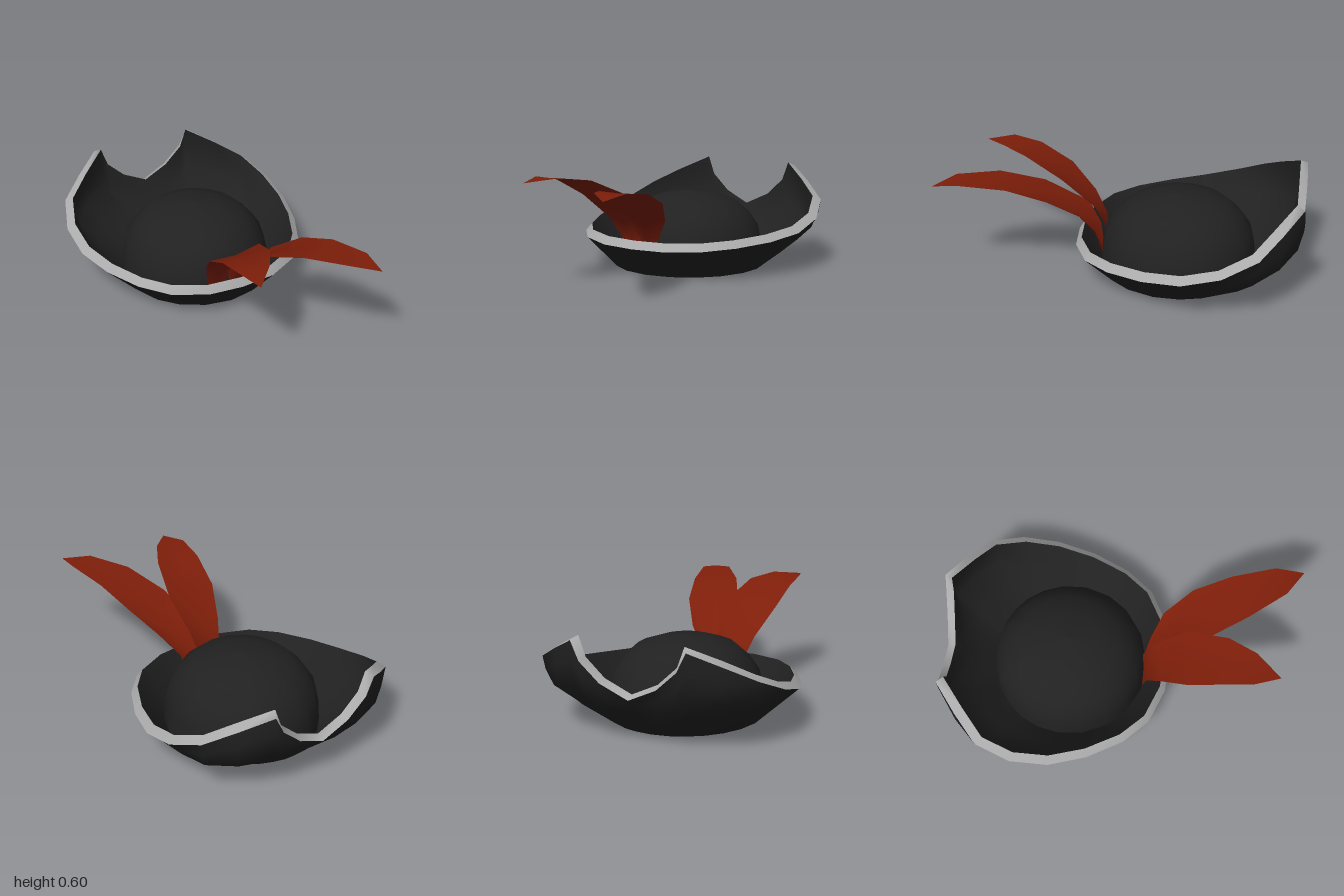
import * as THREE from 'three';

const V = (x, y, z) => new THREE.Vector3(x, y, z);
const make = (color, name) => {
  const m = new THREE.MeshStandardMaterial({ color, side: THREE.DoubleSide });
  m.name = name;
  return m;
};

// Surface through rows of points; closed joins each row's ends
function loft(rows, closed) {
  const n = rows[0].length, pos = [], idx = [];
  rows.forEach(r => r.forEach(p => pos.push(p.x, p.y, p.z)));
  for (let i = 0; i < rows.length - 1; i++) {
    for (let j = 0; j < (closed ? n : n - 1); j++) {
      const k = (j + 1) % n;
      const a = i * n + j, b = i * n + k, c = (i + 1) * n + k, d = (i + 1) * n + j;
      idx.push(a, b, c, a, c, d);
    }
  }
  const g = new THREE.BufferGeometry();
  g.setAttribute('position', new THREE.Float32BufferAttribute(pos, 3));
  g.setIndex(idx);
  g.computeVertexNormals();
  return g;
}

export function createModel() {
  const hat = new THREE.Group();
  hat.name = 'cockedHat';
  const black = make(0x212121, 'blackFelt');
  const grey = make(0xaaaaaa, 'greyTrim');
  const red = make(0x7e1e0a, 'redFeather');
  const add = (geo, mat, name) => {
    const m = new THREE.Mesh(geo, mat);
    m.name = name;
    hat.add(m);
  };

  // Brim edge from front centre round the left side to back centre:
  // x, y, z, outward bulge of the wall below, half width and half height of the trim
  const half = [
    [0, 0.187, 0.254, 0, 0.016, 0.022], [0.2, 0.189, 0.235, 0, 0.016, 0.022],
    [0.385, 0.197, 0.148, 0, 0.017, 0.021], [0.505, 0.207, 0.01, 0, 0.018, 0.02],
    [0.6, 0.222, -0.185, 0, 0.02, 0.019], [0.655, 0.247, -0.39, 0, 0.022, 0.018],
    [0.655, 0.3, -0.59, 0.03, 0.023, 0.016], [0.59, 0.378, -0.765, 0.1, 0.025, 0.013],
    [0.452, 0.46, -0.872, 0.13, 0.026, 0.011], [0.302, 0.54, -0.975, 0.12, 0.024, 0.01],
    [0.258, 0.435, -0.978, 0.09, 0.023, 0.01], [0.15, 0.335, -0.977, 0.05, 0.022, 0.01],
    [0, 0.265, -0.97, 0, 0.022, 0.01],
  ];
  const full = half.concat(half.slice(1, -1).reverse().map(([x, ...rest]) => [-x, ...rest]));
  const edge = full.map(([x, y, z]) => V(x, y, z));
  const n = edge.length;
  const outward = edge.map(p => V(p.x, 0, p.z + 0.3).normalize());
  const base = outward.map(o => V(o.x * 0.43, 0, -0.3 + o.z * 0.44));

  // Outer and inner borders of the sloping trim
  const border = side => edge.map((p, i) => {
    const along = edge[(i + 1) % n].clone().sub(edge[(i + n - 1) % n]).normalize();
    const across = along.clone().cross(V(0, 1, 0)).normalize();
    const up = across.clone().cross(along);
    return p.clone().addScaledVector(across, side * full[i][4]).addScaledVector(up, -side * full[i][5]);
  });
  const outer = border(1), inner = border(-1);
  add(loft([outer, inner], true), grey, 'brimTrim');

  // Brim walls, outside and inside, meeting at the base
  const wall = top => {
    const ring = (t, swell) => base.map((p, i) =>
      p.clone().lerp(top[i], t).addScaledVector(outward[i], full[i][3] * swell));
    return loft([base, ring(0.28, 0.65), ring(0.55, 1), ring(0.8, 0.55), top], true);
  };
  add(wall(outer), black, 'brimOutside');
  add(wall(inner), black, 'brimInside');

  // Domed crown on the same base, open underneath: scale of the base ring and height
  const profile = [[1, 0], [0.985, 0.12], [0.935, 0.22], [0.81, 0.3], [0.63, 0.37], [0.35, 0.412], [0, 0.43]];
  add(loft(profile.map(([s, y]) => base.map(p => V(p.x * s, y, -0.3 + (p.z + 0.3) * s))), true), black, 'crown');

  // Two curved feathers behind the front edge, each folded slightly along its midrib
  const feather = (a, b, fold, name) => {
    const right = a.map(p => V(...p)), left = b.map(p => V(...p));
    const rib = right.map((p, i) => p.clone().lerp(left[i], 0.5).add(V(0, -fold[i], fold[i])));
    add(loft([right, rib, left], false), red, name);
  };
  feather(
    [[-0.13, 0.03, 0.12], [-0.16, 0.2, 0.14], [-0.2, 0.32, 0.21], [-0.265, 0.46, 0.36],
      [-0.29, 0.56, 0.55], [-0.295, 0.593, 0.71], [-0.25, 0.575, 0.86]],
    [[-0.02, 0.03, 0.12], [0, 0.2, 0.12], [0.02, 0.32, 0.18], [0.04, 0.48, 0.36],
      [-0.03, 0.577, 0.58], [-0.12, 0.597, 0.73], [-0.25, 0.575, 0.86]],
    [0, 0.015, 0.02, 0.012, 0.006, 0.002, 0], 'rightFeather');
  feather(
    [[-0.02, 0.05, 0.13], [-0.025, 0.2, 0.15], [-0.045, 0.32, 0.22], [0.005, 0.46, 0.46],
      [0.11, 0.545, 0.69], [0.245, 0.57, 0.9], [0.38, 0.55, 1.0]],
    [[0.06, 0.05, 0.13], [0.1, 0.2, 0.16], [0.2, 0.34, 0.23], [0.295, 0.46, 0.39],
      [0.35, 0.54, 0.6], [0.395, 0.57, 0.84], [0.38, 0.55, 1.0]],
    [0, 0.03, 0.035, 0.014, 0.006, 0.002, 0], 'leftFeather');
  return hat;
}
